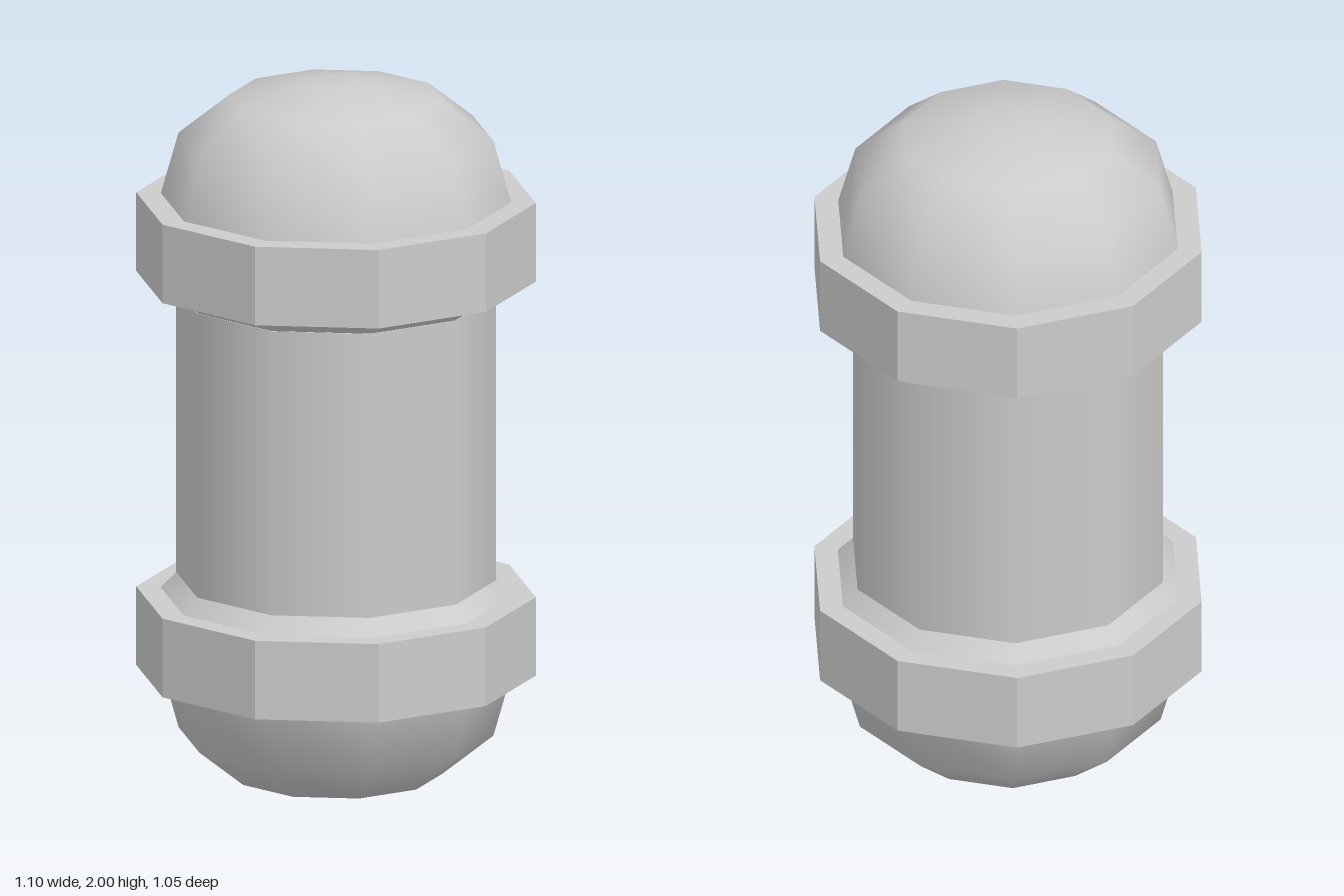
import * as THREE from 'three';

const SIDES = 10;
const smooth = new THREE.MeshStandardMaterial({ color: 0xcccccc });
const faceted = new THREE.MeshStandardMaterial({ color: 0xcccccc, flatShading: true });

// Ten-sided lathe with corners on the x axis; profile runs from bottom to top
function turned(name, profile) {
  const points = profile.map(([r, y]) => new THREE.Vector2(r, y));
  const mesh = new THREE.Mesh(new THREE.LatheGeometry(points, SIDES, Math.PI / 2), smooth);
  mesh.name = name;
  return mesh;
}

// One end of the capsule, measured up from the middle of the body
function createEnd(name) {
  const end = new THREE.Group();
  end.name = name;

  // Sloping collar under the band
  end.add(turned('collar', [[0.44, 0.405], [0.485, 0.45]]));

  // Wide faceted band
  const band = new THREE.Mesh(
    new THREE.CylinderGeometry(0.552, 0.552, 0.224, SIDES, 1, false, Math.PI / 2), faceted);
  band.name = 'band';
  band.position.y = 0.562;
  end.add(band);

  // Rounded cap
  end.add(turned('dome', [[0.485, 0.67], [0.435, 0.848], [0.295, 0.96], [0.1, 1], [0, 1]]));
  return end;
}

export function createModel() {
  const model = new THREE.Group();
  model.name = 'capsule';

  const body = turned('body', [[0.442, -0.405], [0.442, 0.405]]);
  const topEnd = createEnd('topEnd');
  const bottomEnd = createEnd('bottomEnd');
  bottomEnd.rotation.z = Math.PI;

  for (const part of [body, topEnd, bottomEnd]) {
    part.position.y = 1;
    model.add(part);
  }
  return model;
}
